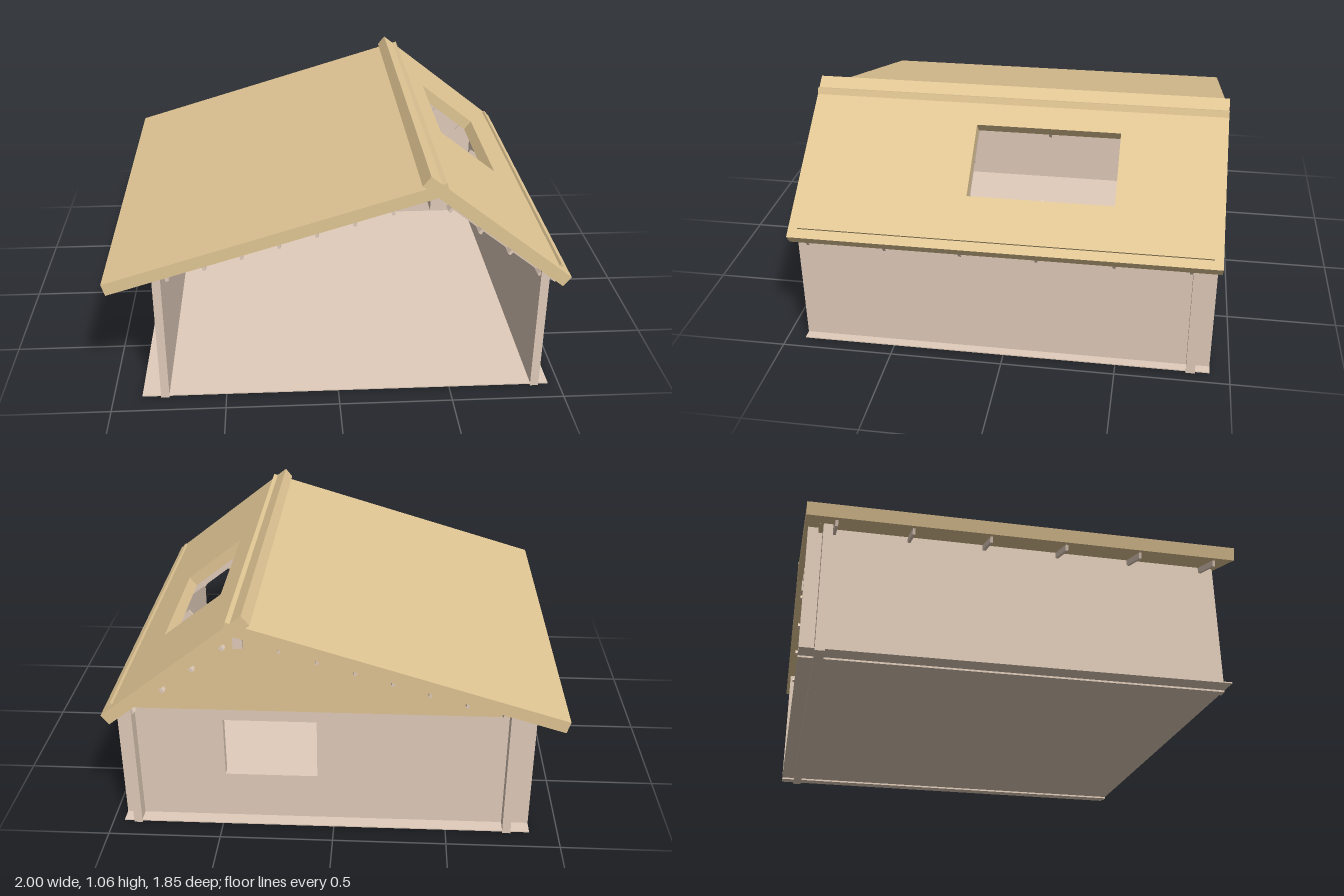
import * as THREE from 'three';

const wood = new THREE.MeshStandardMaterial({ color: 0xe2cdbb });
const roofing = new THREE.MeshStandardMaterial({ color: 0xe2c795 });

const RIDGE_X = 0.406;
const WALL_L = -0.872, WALL_R = 0.947, WALL_Z = 0.912, ROOF_Z = 0.927;
const ROOF_T = 0.055;

// Height of the underside of the roof at x
const roofY = (x) => Math.min(0.8426 + 0.302 * x, 1.2835 - 0.785 * x);

function addMesh(parent, name, geometry, material) {
  const mesh = new THREE.Mesh(geometry, material);
  mesh.name = name;
  parent.add(mesh);
  return mesh;
}

// Box given by its extents on each axis
function addBox(parent, name, [x0, x1], [y0, y1], [z0, z1], material = wood) {
  const mesh = addMesh(parent, name, new THREE.BoxGeometry(x1 - x0, y1 - y0, z1 - z0), material);
  mesh.position.set((x0 + x1) / 2, (y0 + y1) / 2, (z0 + z1) / 2);
  return mesh;
}

function rectangle(Type, x0, x1, y0, y1) {
  return new Type([[x0, y0], [x1, y0], [x1, y1], [x0, y1]].map(([x, y]) => new THREE.Vector2(x, y)));
}

// Upright panel from yBase to the roof underside, between two x and two z
function addPanel(parent, name, [x0, x1], yBase, [z0, z1], material, hole) {
  const points = [[x0, yBase], [x1, yBase], [x1, roofY(x1)]];
  if (x0 < RIDGE_X && x1 > RIDGE_X) points.push([RIDGE_X, roofY(RIDGE_X)]);
  points.push([x0, roofY(x0)]);
  const shape = new THREE.Shape(points.map(([x, y]) => new THREE.Vector2(x, y)));
  if (hole) shape.holes.push(hole);
  const geometry = new THREE.ExtrudeGeometry(shape, { depth: z1 - z0, bevelEnabled: false });
  geometry.translate(0, 0, z0);
  return addMesh(parent, name, geometry, material);
}

// Group whose x runs along a roof slope and whose y is the slope's normal
function addSlope(parent, name, x, y, angle) {
  const slope = new THREE.Group();
  slope.name = name;
  slope.position.set(x, y, 0);
  slope.rotation.z = angle;
  parent.add(slope);
  return slope;
}

export function createModel() {
  const model = new THREE.Group();
  model.name = 'cabin';

  // Floor plate, just above the lower edge of the walls
  addBox(model, 'floor', [WALL_L, WALL_R], [0.008, 0.013], [-WALL_Z, WALL_Z]);

  // Walls cross at the back corners; the front is open
  addPanel(model, 'leftSideWall', [-0.79, -0.753], 0, [-WALL_Z, WALL_Z], wood);
  addPanel(model, 'rightSideWall', [0.867, 0.905], 0, [-WALL_Z, WALL_Z], wood);
  const windowHole = rectangle(THREE.Path, 0.075, 0.485, 0.235, 0.517);
  addPanel(model, 'backWall', [WALL_L, WALL_R], 0, [-0.85, -0.81], wood, windowHole);
  addPanel(model, 'gableCladding', [-0.868, 0.895], 0.58, [-0.868, -0.85], roofing);

  // Ridge beam
  addBox(model, 'ridgeBeam', [0.375, 0.415], [0.897, 0.96], [-0.9, 0.9]);

  const rafterZ = [0.85, 0.51, 0.18, -0.15, -0.48, -0.8];
  const under = -ROOF_T;
  const rafterY = [under - 0.026, under];
  const purlinY = [under - 0.031, under];

  // Long roof slope
  const long = addSlope(model, 'longRoofSlope', -1, 0.598, Math.atan(0.302));
  addBox(long, 'longRoofSlab', [0, 1.501], [-ROOF_T, 0], [-ROOF_Z, ROOF_Z], roofing);
  for (const z of rafterZ) addBox(long, 'rafter', [0.038, 1.42], rafterY, [z - 0.006, z + 0.006]);
  for (let i = 0; i < 7; i++) {
    const s = 0.262 + i * 0.1655;
    addBox(long, 'purlin', [s - 0.007, s + 0.007], purlinY, [-0.9, 0.9]);
  }

  // Short roof slope with a skylight opening
  const short = addSlope(model, 'shortRoofSlope', 0.37, 1.063, -Math.atan(0.785));
  const hole = { s0: 0.203, s1: 0.547, z0: -0.465, z1: 0.173 };
  const outline = rectangle(THREE.Shape, 0, 0.795, -ROOF_Z, ROOF_Z);
  outline.holes.push(rectangle(THREE.Path, hole.s0, hole.s1, hole.z0, hole.z1));
  const slab = new THREE.ExtrudeGeometry(outline, { depth: ROOF_T, bevelEnabled: false });
  slab.rotateX(Math.PI / 2);
  addMesh(short, 'shortRoofSlab', slab, roofing);
  addBox(short, 'eaveBatten', [0.738, 0.754], [0, 0.012], [-0.89, 0.885], roofing);

  // Rafters and purlins stop at the opening
  for (const z of rafterZ) {
    const cut = z > hole.z0 && z < hole.z1;
    const spans = cut ? [[0.08, hole.s0], [0.52, 0.795]] : [[0.08, 0.795]];
    for (const span of spans) addBox(short, 'rafter', span, rafterY, [z - 0.006, z + 0.006]);
  }
  for (const s of [0.177, 0.347, 0.516, 0.69]) {
    const cut = s > hole.s0 && s < hole.s1;
    const spans = cut ? [[-0.9, hole.z0], [hole.z1, 0.9]] : [[-0.9, 0.9]];
    for (const span of spans) addBox(short, 'purlin', [s - 0.007, s + 0.007], purlinY, span);
  }

  return model;
}
